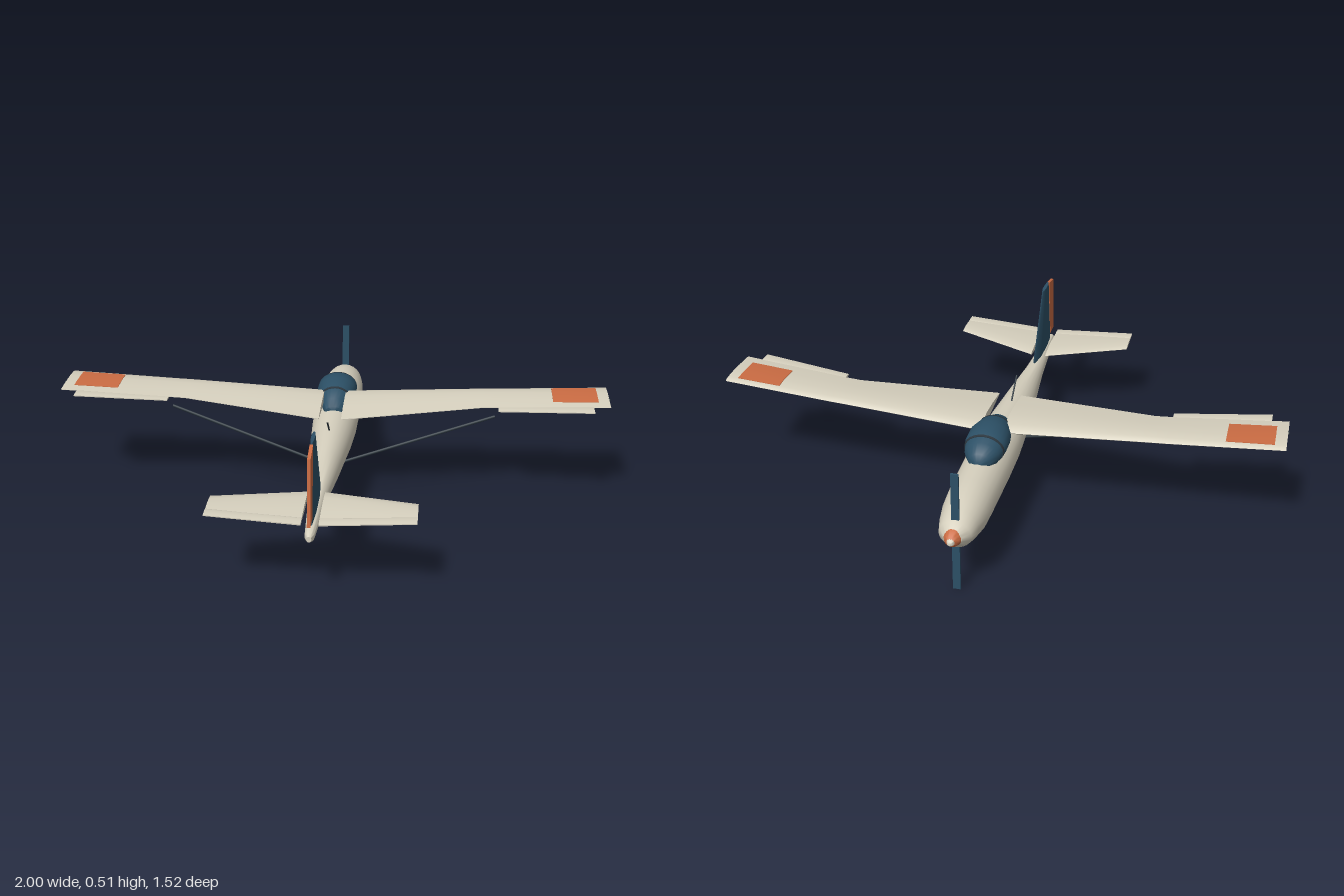
import * as THREE from 'three';
import { toCreasedNormals } from 'three/addons/utils/BufferGeometryUtils.js';

const mat = (color) => new THREE.MeshStandardMaterial({ color });

// Skin a row of closed rings (each an array of [x, y, z]) and cap both ends.
function loft(rings, flip = false, crease = 0.7) {
  const pos = [];
  const tri = (a, b, c) => pos.push(...a, ...(flip ? [...c, ...b] : [...b, ...c]));
  const n = rings[0].length;
  const centre = (r) => [0, 1, 2].map((k) => r.reduce((s, p) => s + p[k], 0) / n);
  const first = rings[0], last = rings[rings.length - 1];
  const c0 = centre(first), c1 = centre(last);
  for (let j = 0; j < n; j++) {
    const k = (j + 1) % n;
    for (let i = 0; i < rings.length - 1; i++) {
      const [a, b, c, d] = [rings[i][j], rings[i][k], rings[i + 1][k], rings[i + 1][j]];
      tri(a, b, c);
      tri(a, c, d);
    }
    tri(c0, first[k], first[j]);
    tri(c1, last[j], last[k]);
  }
  const g = new THREE.BufferGeometry();
  g.setAttribute('position', new THREE.Float32BufferAttribute(pos, 3));
  return toCreasedNormals(g, crease);
}

// Elliptical ring across z
const oval = (z, y, rx, ry, n = 24) => Array.from({ length: n }, (_, i) => {
  const a = (i / n) * Math.PI * 2;
  return [Math.cos(a) * rx, y + Math.sin(a) * ry, z];
});

// Airfoil outlines: [fraction of chord, fraction of thickness]
const CAMBERED = [[0, 0], [0.03, 0.3], [0.12, 0.55], [0.35, 0.65], [0.65, 0.45], [1, 0.04],
  [1, -0.04], [0.65, -0.25], [0.3, -0.35], [0.08, -0.25], [0.02, -0.15]];
const SYMMETRIC = [[0, 0], [0.05, 0.25], [0.3, 0.5], [0.7, 0.45], [1, 0.2],
  [1, -0.2], [0.7, -0.45], [0.3, -0.5], [0.05, -0.25]];

// Horizontal surface from stations [x, y, zFront, zBack, thickness]; s picks the side
const surface = (stations, s, outline) => loft(stations.map(([x, y, z0, z1, t]) =>
  outline.map(([f, h]) => [s * x, y + h * t, z0 + f * (z1 - z0)])), s < 0);

// Vertical surface from stations [y, zFront, zBack, thickness]
const upright = (stations) => loft(stations.map(([y, z0, z1, t]) =>
  SYMMETRIC.map(([f, h]) => [h * t, y, z0 + f * (z1 - z0)])), true);

// Thin round bar between two points
function rod(a, b, r) {
  const p = new THREE.Vector3(...a), q = new THREE.Vector3(...b);
  return new THREE.TubeGeometry(new THREE.LineCurve3(p, q), 1, r, 8);
}

export function createModel() {
  const root = new THREE.Group();
  root.name = 'lightAircraft';
  const cream = mat(0xd6d0be), blue = mat(0x2c5066), orange = mat(0xcb6c43), dark = mat(0x2b363e);
  const add = (name, geometry, material, parent = root) => {
    const m = new THREE.Mesh(geometry, material);
    m.name = name;
    parent.add(m);
    return m;
  };

  // Fuselage: [z, top, bottom, half width]
  add('fuselage', loft([
    [-0.725, 0.252, 0.198, 0.03], [-0.695, 0.272, 0.172, 0.055], [-0.65, 0.29, 0.156, 0.066],
    [-0.58, 0.305, 0.14, 0.077], [-0.5, 0.31, 0.14, 0.081], [-0.3, 0.31, 0.14, 0.084],
    [-0.15, 0.308, 0.141, 0.083], [0, 0.304, 0.145, 0.074], [0.22, 0.288, 0.16, 0.054],
    [0.42, 0.267, 0.186, 0.035], [0.55, 0.257, 0.198, 0.027], [0.735, 0.244, 0.205, 0.016],
    [0.755, 0.234, 0.214, 0.008],
  ].map(([z, t, b, w]) => oval(z, (t + b) / 2, w, (t - b) / 2))), cream);

  // Spinner
  const hub = 0.225;
  add('spinner', loft([oval(-0.747, hub, 0.014, 0.014), oval(-0.737, hub, 0.024, 0.024),
    oval(-0.718, hub, 0.032, 0.032)]), orange);
  add('spinnerTip', loft([oval(-0.76, hub, 0.003, 0.003), oval(-0.755, hub, 0.009, 0.009),
    oval(-0.746, hub, 0.014, 0.014)]), cream);

  // Two-bladed propeller
  for (const s of [1, -1]) {
    const blade = add('propellerBlade', new THREE.BoxGeometry(0.026, 0.222, 0.008), blue);
    blade.position.set(0, 0.222 + s * 0.111, -0.686);
  }

  // Canopy: [z, centre height, half width, half height]
  const canopy = [[-0.41, 0.305, 0.012, 0.012], [-0.395, 0.311, 0.038, 0.031], [-0.36, 0.318, 0.06, 0.047],
    [-0.31, 0.325, 0.073, 0.056], [-0.25, 0.328, 0.073, 0.058], [-0.18, 0.32, 0.058, 0.051],
    [-0.13, 0.311, 0.042, 0.037], [-0.11, 0.302, 0.03, 0.02]];
  add('canopy', loft(canopy.map((c) => oval(...c))), blue);
  const canopyAt = (z, grow) => {
    const i = canopy.findIndex((c, k) => k > 0 && c[0] >= z);
    const a = canopy[i - 1], b = canopy[i], t = (z - a[0]) / (b[0] - a[0]);
    const [y, rx, ry] = [1, 2, 3].map((k) => THREE.MathUtils.lerp(a[k], b[k], t));
    return oval(z, y, rx + grow, ry + grow);
  };
  for (const z of [-0.33, -0.18]) {
    add('canopyFrame', loft([canopyAt(z - 0.004, 0.002), canopyAt(z + 0.004, 0.002)]), dark);
  }

  // Wings, struts and tailplane, one set per side
  for (const s of [1, -1]) {
    const side = s > 0 ? 'left' : 'right';
    const wing = new THREE.Group();
    wing.name = side + 'Wing';
    root.add(wing);
    add('wingPanel', surface([[0.04, 0.334, -0.228, 0.042, 0.034], [0.54, 0.365, -0.221, -0.04, 0.021],
      [0.6, 0.368, -0.22, -0.038, 0.02], [0.994, 0.392, -0.21, -0.013, 0.012]], s, CAMBERED), cream, wing);
    add('aileron', surface([[0.6, 0.365, -0.05, -0.008, 0.008],
      [0.935, 0.386, -0.03, 0.029, 0.008]], s, SYMMETRIC), cream, wing);

    // Coloured patch lying on the upper skin
    const patch = [[0.12, 0.55], [0.35, 0.65], [0.65, 0.45], [0.78, 0.3]];
    add('wingMarking', loft([[0.795, 0.3799, -0.2151, -0.0254, 0.0161], [0.955, 0.3896, -0.211, -0.0155, 0.0128]]
      .map(([x, y, z0, z1, t]) => {
        const at = (d) => patch.map(([f, h]) => [s * x, y + h * t + d, z0 + f * (z1 - z0)]);
        return [...at(0.0018), ...at(-0.003).reverse()];
      }), s < 0), orange, wing);
    const lamp = add('tipLight', new THREE.SphereGeometry(0.006, 10, 8), dark, wing);
    lamp.scale.z = 1.7;
    lamp.position.set(s * 0.994, 0.392, -0.09);

    add(side + 'Strut', rod([s * 0.045, 0.166, 0.036], [s * 0.59, 0.323, -0.065], 0.0055), dark);

    add(side + 'Tailplane', surface([[0.028, 0.265, 0.498, 0.695, 0.022],
      [0.335, 0.284, 0.596, 0.695, 0.011]], s, SYMMETRIC), cream);
    add(side + 'Elevator', surface([[0.028, 0.265, 0.685, 0.737, 0.01],
      [0.335, 0.284, 0.685, 0.737, 0.007]], s, SYMMETRIC), cream);
  }

  // Fin and rudder
  add('fin', upright([[0.235, 0.405, 0.703, 0.022], [0.265, 0.422, 0.698, 0.021], [0.51, 0.566, 0.66, 0.013]]), blue);
  // The rudder's upper edge slopes down toward the rear
  const rudder = new THREE.Shape([[0.697, 0.268], [0.76, 0.268], [0.738, 0.49], [0.66, 0.506]]
    .map(([z, y]) => new THREE.Vector2(-z, y)));
  const plate = new THREE.ExtrudeGeometry(rudder, { depth: 0.011, bevelEnabled: false });
  add('rudder', plate.translate(0, 0, -0.0055).rotateY(Math.PI / 2), orange);

  // Whip aerial behind the cabin
  add('aerial', rod([0, 0.298, 0.058], [0, 0.364, 0.138], 0.003), dark);

  return root;
}
